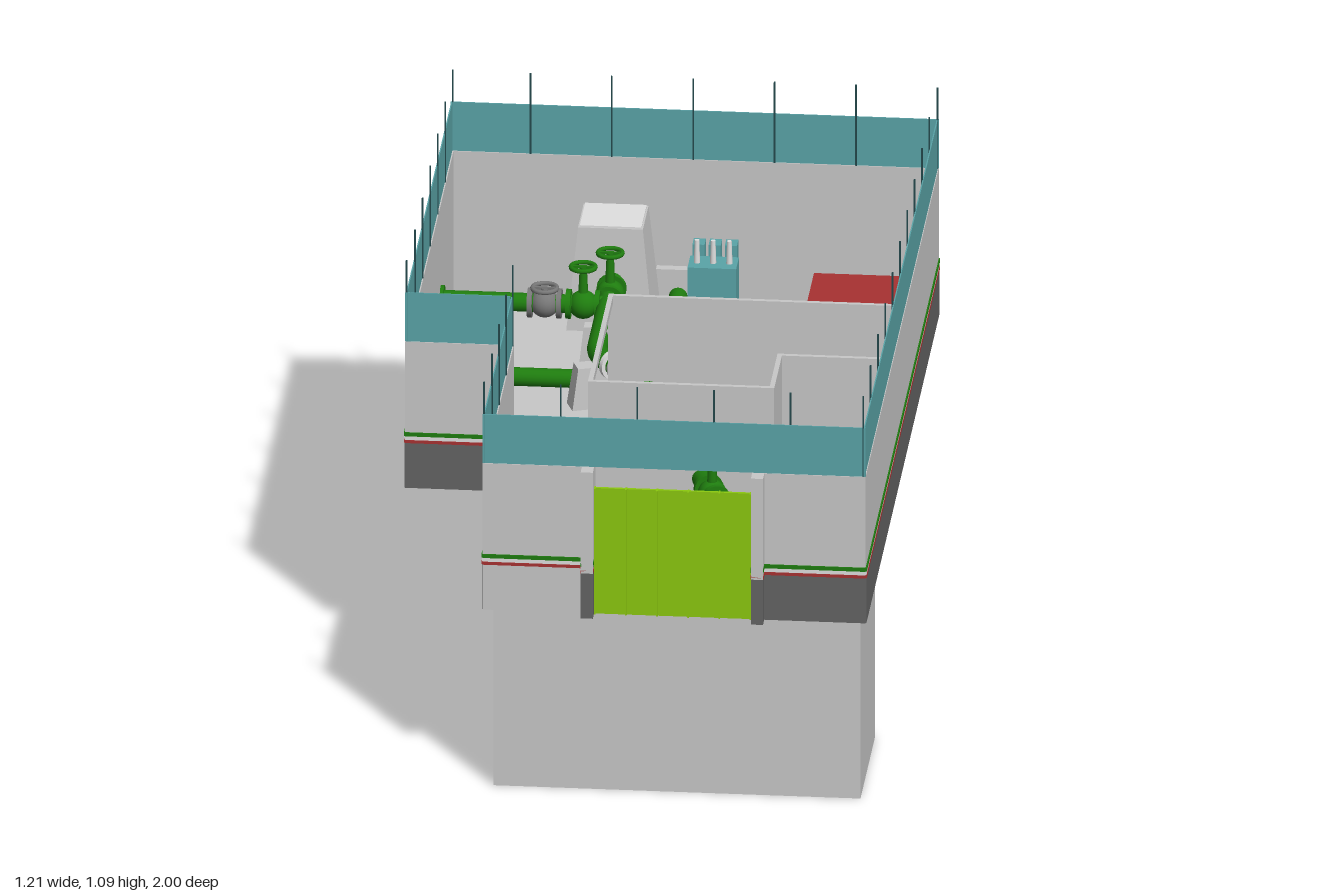
import * as THREE from 'three';

const mat = (name, color, both) => {
  const m = new THREE.MeshStandardMaterial({ color });
  m.name = name;
  if (both) m.side = THREE.DoubleSide;
  return m;
};

export function createModel() {
  const grey = mat('concrete grey', 0xc8c8c8), dark = mat('plinth grey', 0x646464);
  const red = mat('red', 0xa83232), green = mat('pipe green', 0x1f7d0f);
  const lime = mat('gate lime', 0x8cc90f), teal = mat('fence teal', 0x5aa4a8, true);
  const post = mat('post dark teal', 0x24494c), steel = mat('valve steel', 0x787878);
  const white = mat('pale grey', 0xe0e0e0);
  const model = new THREE.Group();
  model.name = 'pumpStation';

  const add = (name, geo, m, x = 0, y = 0, z = 0, parent = model) => {
    const mesh = new THREE.Mesh(geo, m);
    mesh.name = name;
    mesh.position.set(x, y, z);
    parent.add(mesh);
    return mesh;
  };
  // box given by its minimum and maximum on each axis
  const box = (name, m, x0, x1, y0, y1, z0, z1, parent) =>
    add(name, new THREE.BoxGeometry(x1 - x0, y1 - y0, z1 - z0), m,
      (x0 + x1) / 2, (y0 + y1) / 2, (z0 + z1) / 2, parent);
  // box narrowing towards the top
  const frustum = (name, m, w, d, wt, dt, y0, y1, x, z, ry = 0) => {
    const g = new THREE.BoxGeometry(w, y1 - y0, d).toNonIndexed(), p = g.attributes.position;
    for (let i = 0; i < p.count; i++)
      if (p.getY(i) > 0) { p.setX(i, p.getX(i) * wt / w); p.setZ(i, p.getZ(i) * dt / d); }
    g.computeVertexNormals();
    const mesh = add(name, g, m, x, (y0 + y1) / 2, z);
    mesh.rotation.y = ry;
    return mesh;
  };

  // floor slab (L-shaped) and deep chamber
  box('rearFloor', grey, -0.603, 0.598, 0.48, 0.492, -0.978, 0.225);
  box('frontFloor', grey, -0.343, 0.598, 0.48, 0.492, 0.225, 0.963);
  box('deepChamber', grey, -0.32, 0.585, 0, 0.48, 0.56, 0.94);

  // perimeter walls with plinth, stripes, fence and posts
  const wallRun = (ax, az, bx, bz, plinth = dark, fenced = true) => {
    const len = Math.hypot(bx - ax, bz - az);
    const g = new THREE.Group();
    g.name = 'perimeterWall';
    g.position.set(ax, 0, az);
    g.rotation.y = Math.atan2(-(bz - az), bx - ax);
    model.add(g);
    box('wall', grey, 0, len, 0.48, 0.87, -0.008, 0, g);
    box('plinthBand', plinth, 0, len, 0.48, 0.6, 0, 0.002, g);
    box('redStripe', red, 0, len, 0.6, 0.608, 0, 0.003, g);
    box('paleStripe', white, 0, len, 0.608, 0.618, 0, 0.002, g);
    box('greenStripe', green, 0, len, 0.618, 0.628, 0, 0.003, g);
    if (fenced) fenceRun(g, len);
  };
  const fenceRun = (g, len) => {
    box('fence', teal, 0, len, 0.87, 1, -0.005, -0.002, g);
    const n = Math.max(1, Math.round(len / 0.193));
    for (let i = 0; i < n; i++) {
      const x = 0.003 + i * len / n;
      box('fencePost', post, x - 0.002, x + 0.002, 0.87, 1.085, -0.008, -0.004, g);
    }
  };
  wallRun(-0.345, 0.965, -0.085, 0.965, grey, false);
  wallRun(0.335, 0.965, 0.6, 0.965, dark, false);
  wallRun(0.6, 0.965, 0.6, -0.98);
  wallRun(0.6, -0.98, -0.605, -0.98);
  wallRun(-0.605, -0.98, -0.605, 0.225);
  wallRun(-0.605, 0.225, -0.345, 0.225);
  wallRun(-0.345, 0.225, -0.345, 0.965);
  const frontFence = new THREE.Group();
  frontFence.name = 'frontFence';
  frontFence.position.set(-0.345, 0, 0.965);
  model.add(frontFence);
  fenceRun(frontFence, 0.945);

  // gate with its two posts
  for (const x of [-0.1, 0.32]) {
    box('gatePost', grey, x, x + 0.03, 0.6, 0.87, 0.925, 1);
    box('gatePostBase', dark, x, x + 0.03, 0.48, 0.6, 0.925, 1);
    box('gatePostRedStripe', red, x - 0.001, x + 0.031, 0.6, 0.608, 0.924, 1);
    box('gatePostGreenStripe', green, x - 0.001, x + 0.031, 0.618, 0.628, 0.924, 1);
  }
  box('gate', lime, -0.07, 0.32, 0.48, 0.815, 0.958, 0.966);
  for (let i = 0; i <= 5; i++) {
    const x = -0.068 + i * 0.0768;
    box('gateRib', lime, x - 0.002, x + 0.002, 0.48, 0.815, 0.954, 0.972);
  }

  // inner room, open on its -x side
  box('roomBackWall', grey, -0.135, 0.595, 0.49, 0.87, -0.12, -0.108);
  box('roomFrontWall', grey, -0.135, 0.325, 0.49, 0.87, 0.42, 0.432);
  box('roomStepWall', grey, 0.313, 0.325, 0.49, 0.87, 0.215, 0.42);
  box('roomSideWall', grey, 0.325, 0.595, 0.49, 0.87, 0.215, 0.227);
  box('roomLintel', grey, -0.135, -0.123, 0.85, 0.87, -0.108, 0.42);

  // hut with red roof, low pad and tapered shaft head
  box('hut', grey, 0.365, 0.575, 0.49, 0.79, -0.41, -0.13);
  box('hutRoof', red, 0.343, 0.595, 0.79, 0.812, -0.43, -0.122);
  box('lowPad', grey, 0.415, 0.53, 0.49, 0.51, -0.91, -0.595);
  frustum('shaftHead', grey, 0.215, 0.19, 0.16, 0.15, 0.49, 0.76, -0.192, -0.857);
  box('shaftLid', white, -0.268, -0.116, 0.76, 0.764, -0.928, -0.786);

  // transformer on its pad
  box('transformerPad', grey, 0.01, 0.165, 0.49, 0.63, -0.565, -0.405);
  box('transformerTank', teal, 0.03, 0.15, 0.63, 0.81, -0.515, -0.44);
  for (let i = 0; i < 3; i++) {
    const x = 0.05 + i * 0.04;
    box('coolingFin', teal, x - 0.015, x + 0.015, 0.65, 0.84, -0.555, -0.515);
    add('bushing', new THREE.CylinderGeometry(0.006, 0.008, 0.06, 10), white, x, 0.84, -0.475);
  }

  // pipes: straight runs with rounded corners
  const V = (x, y, z) => new THREE.Vector3(x, y, z);
  const pipe = (name, pts, r = 0.023, bend = 0.05) => {
    const path = new THREE.CurvePath();
    let from = pts[0];
    for (let i = 1; i < pts.length - 1; i++) {
      const toward = (q) => pts[i].clone().add(q.clone().sub(pts[i]).setLength(bend));
      const a = toward(pts[i - 1]), b = toward(pts[i + 1]);
      path.add(new THREE.LineCurve3(from, a));
      path.add(new THREE.QuadraticBezierCurve3(a, pts[i], b));
      from = b;
    }
    path.add(new THREE.LineCurve3(from, pts[pts.length - 1]));
    add(name, new THREE.TubeGeometry(path, 100, r, 16), green);
    for (const [p, q] of [[pts[0], pts[1]], [pts.at(-1), pts.at(-2)]])
      disc('pipeEnd', green, p, q.clone().sub(p), r, 0.004);
  };
  const disc = (name, m, p, dir, r, t) => {
    const d = add(name, new THREE.CylinderGeometry(r, r, t, 20), m, p.x, p.y, p.z);
    d.quaternion.setFromUnitVectors(V(0, 1, 0), dir.clone().normalize());
  };
  pipe('mainPipe', [V(-0.185, 0.62, -0.97), V(-0.185, 0.62, -0.32), V(-0.055, 0.62, -0.16),
    V(0.245, 0.62, 0.71), V(0.245, 0.5, 0.71)], 0.026);
  pipe('branchPipe', [V(-0.6, 0.62, -0.63), V(-0.185, 0.62, -0.63)]);
  pipe('drainPipe', [V(-0.6, 0.515, -0.41), V(-0.04, 0.515, -0.41), V(-0.04, 0.515, -0.97)]);
  for (const x of [-0.595, -0.52, -0.09]) disc('flange', green, V(x, 0.515, -0.41), V(1, 0, 0), 0.037, 0.014);
  disc('flange', green, V(-0.595, 0.62, -0.63), V(1, 0, 0), 0.035, 0.014);

  // valves: body, two flanges, stem and hand wheel
  const valve = (m, x, y, z, dx, dz, top) => {
    const dir = V(dx, 0, dz).normalize();
    add('valveBody', new THREE.SphereGeometry(0.036, 18, 12), m, x, y, z);
    for (const s of [-0.036, 0.036])
      disc('valveFlange', m, V(x, y, z).addScaledVector(dir, s), dir, 0.037, 0.012);
    if (!top) return;
    add('valveStem', new THREE.CylinderGeometry(0.009, 0.014, top - y, 10), m, x, (top + y) / 2, z);
    add('handWheel', new THREE.TorusGeometry(0.03, 0.006, 8, 20), m, x, top, z).rotation.x = Math.PI / 2;
    box('wheelSpoke', m, x - 0.03, x + 0.03, top - 0.003, top + 0.003, z - 0.004, z + 0.004);
  };
  valve(green, -0.185, 0.62, -0.7, 0, 1, 0.73);
  valve(green, -0.245, 0.62, -0.63, 1, 0, 0.72);
  valve(steel, -0.34, 0.62, -0.63, 1, 0, 0.66);
  valve(green, -0.04, 0.515, -0.49, 0, 1, 0.63);
  valve(white, -0.04, 0.515, -0.7, 0, 1, 0.58);
  valve(white, -0.115, 0.62, -0.235, 0.13, 0.16, 0.72);
  valve(green, 0.18, 0.62, 0.52, 0.3, 0.87, 0.74);
  // curved lever beside the pale valve
  add('lever', new THREE.TorusGeometry(0.035, 0.004, 8, 16, Math.PI), steel, -0.08, 0.72, -0.235);

  // supports reaching through the floor
  frustum('pipeSupport', grey, 0.15, 0.05, 0.11, 0.035, 0.42, 0.6, -0.18, -0.55);
  frustum('pipeSupport', grey, 0.14, 0.055, 0.1, 0.04, 0.42, 0.51, -0.03, -0.597);
  frustum('pipeSupport', grey, 0.14, 0.055, 0.1, 0.04, 0.415, 0.51, -0.03, -0.795);
  frustum('pipeSupport', grey, 0.16, 0.06, 0.11, 0.045, 0.43, 0.6, -0.18, -0.31, 0.35);
  frustum('pipeSupport', grey, 0.17, 0.05, 0.12, 0.035, 0.455, 0.6, 0.155, 0.51, 0.35);
  frustum('rearSupport', grey, 0.18, 0.055, 0.11, 0.05, 0.415, 0.585, -0.04, -0.9725);
  box('smallSupport', grey, -0.035, -0.005, 0.41, 0.5, -0.225, -0.18);
  box('supportPin', steel, -0.025, -0.015, 0.385, 0.41, -0.2, -0.185);
  box('supportRod', grey, -0.11, -0.09, 0.35, 0.5, -0.77, -0.752);

  // pump base plate between two tapered blocks
  const tilt = 0.4;
  const plate = add('pumpPlate', new THREE.BoxGeometry(0.17, 0.02, 0.17), green, 0.24, 0.53, 0.71);
  plate.rotation.y = tilt;
  for (const s of [-1, 1])
    frustum('pumpBlock', grey, 0.045, 0.19, 0.02, 0.18, 0.49, 0.59,
      0.24 + s * 0.13 * Math.cos(tilt), 0.71 - s * 0.13 * Math.sin(tilt), tilt);

  return model;
}
